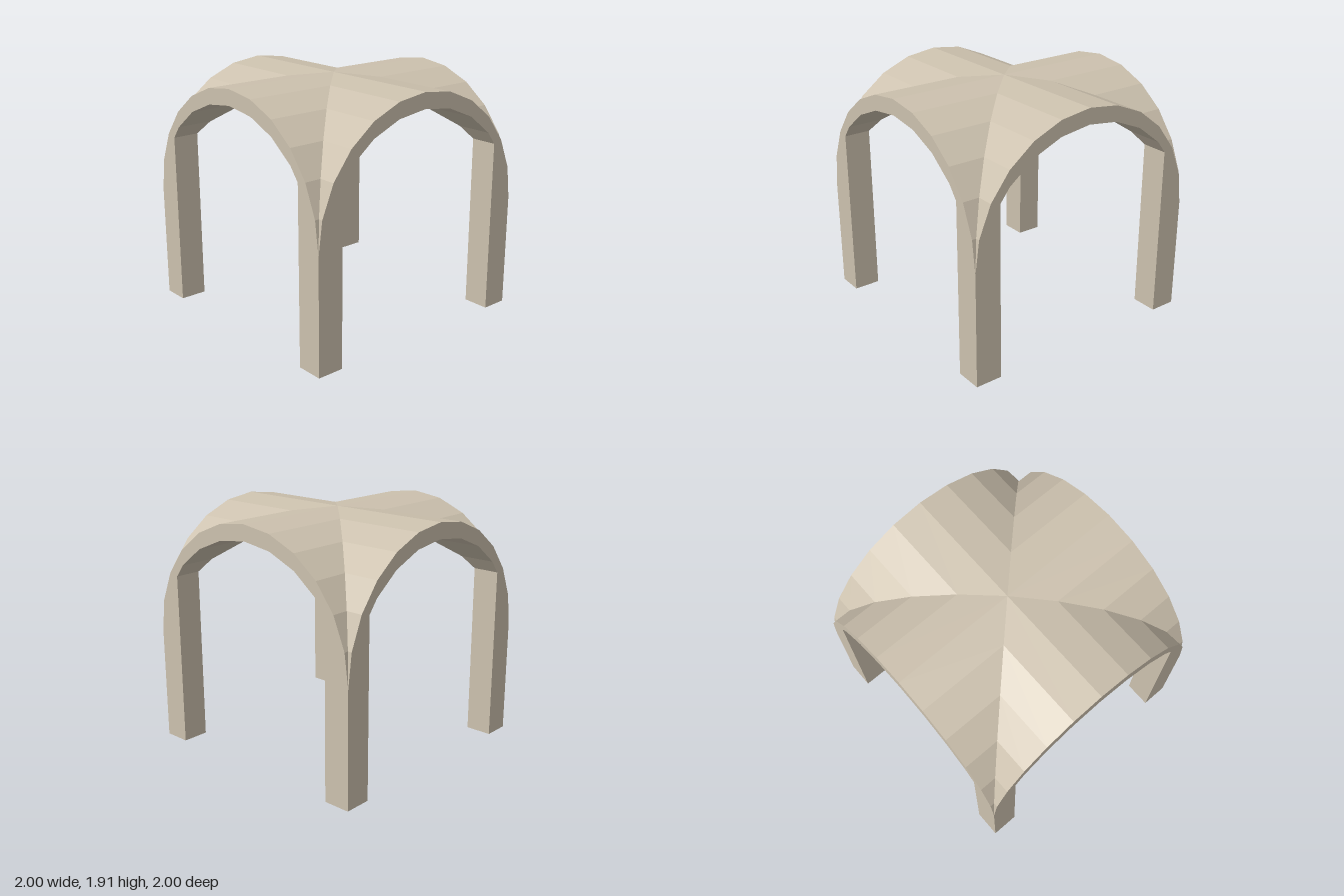
import * as THREE from 'three';
import { mergeGeometries } from 'three/addons/utils/BufferGeometryUtils.js';

const SPRING = 0.915;   // height where the outer arch begins
const SHELL = 0.125;    // vertical thickness of the vault
const INNER = 0.785;    // inner face of the legs
const STEP = Math.PI / 12;

// Outer arch, from the right springing over the crown to the left
const arch = [];
for (let i = 0; i <= 12; i++) arch.push([Math.cos(i * STEP), SPRING + Math.sin(i * STEP)]);

// Underside height where it meets the leg, on the straight arch segment there
const [a, b] = [arch[2], arch[3]];
const MEET = a[1] + (b[1] - a[1]) * (INNER - a[0]) / (b[0] - a[0]) - SHELL;

// Front quarter of a part: a flat face at z = 1, with walls running back to the
// diagonals z = |x|. Runs are open outlines (anticlockwise) that together bound the face.
function quarter(runs) {
  const points = runs.flat().map(([x, y]) => new THREE.Vector2(x, y));
  const face = new THREE.ShapeGeometry(new THREE.Shape(points)).toNonIndexed();
  face.translate(0, 0, 1);
  face.deleteAttribute('uv');

  const pos = [];
  for (const run of runs) {
    for (let i = 0; i < run.length - 1; i++) {
      const [ax, ay] = run[i], [bx, by] = run[i + 1];
      const za = Math.abs(ax), zb = Math.abs(bx);
      if (zb < 0.9999) pos.push(ax, ay, za, bx, by, zb, bx, by, 1);
      if (za < 0.9999) pos.push(ax, ay, za, bx, by, 1, ax, ay, 1);
    }
  }
  const walls = new THREE.BufferGeometry();
  walls.setAttribute('position', new THREE.Float32BufferAttribute(pos, 3));
  walls.computeVertexNormals();
  return mergeGeometries([face, walls]);
}

export function createModel() {
  const group = new THREE.Group();
  const material = new THREE.MeshStandardMaterial({ color: 0xccc1ae, flatShading: true });
  const add = (name, geometry) => {
    const mesh = new THREE.Mesh(geometry, material);
    mesh.name = name;
    group.add(mesh);
    return mesh;
  };

  // Groin vault: four quarters meeting along the diagonals
  const underside = [
    [-INNER, MEET],
    ...arch.slice(3, 10).reverse().map(([x, y]) => [x, y - SHELL]),
    [INNER, MEET],
  ];
  const bay = quarter([arch, underside]);
  add('groinVault', mergeGeometries(
    [0, 1, 2, 3].map((i) => bay.clone().rotateY(i * Math.PI / 2))));

  // Square legs, each made of two halves joined on the diagonal
  const outline = [[INNER, MEET], [INNER, 0], [1, 0], [1, SPRING]];
  const mirrored = outline.map(([x, y]) => [-x, y]).reverse();
  const leg = mergeGeometries([quarter([outline]), quarter([mirrored]).rotateY(Math.PI / 2)]);
  ['frontLeftLeg', 'backLeftLeg', 'backRightLeg', 'frontRightLeg'].forEach((name, i) => {
    add(name, leg).rotation.y = i * Math.PI / 2;
  });

  return group;
}
